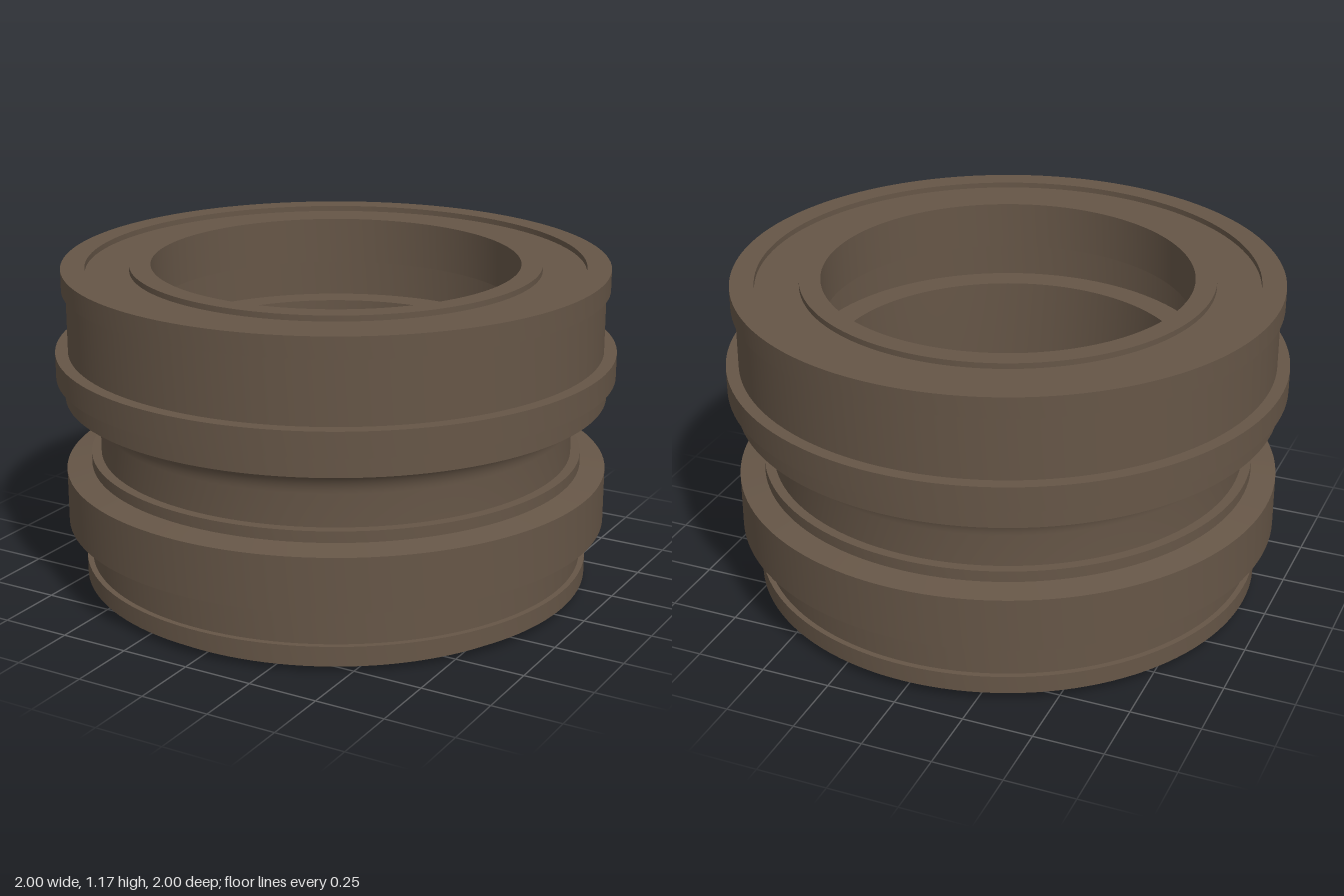
import * as THREE from 'three';
import { toCreasedNormals } from 'three/addons/utils/BufferGeometryUtils.js';

const SEGMENTS = 128;

export function createModel() {
  const group = new THREE.Group();
  const bronze = new THREE.MeshStandardMaterial({ color: 0x665647 });
  bronze.name = 'dark bronze';

  // Turns a [radius, height] profile; the profiles run counterclockwise round the section
  const turn = (name, profile) => {
    const points = profile.map(([r, y]) => new THREE.Vector2(r, y));
    const geometry = toCreasedNormals(new THREE.LatheGeometry(points, SEGMENTS), 0.25);
    const mesh = new THREE.Mesh(geometry, bronze);
    mesh.name = name;
    group.add(mesh);
  };

  // Stepped foot and lower flange with chamfered edges
  turn('lowerFlange', [
    [0.865, 0], [0.865, 0.03], [0.915, 0.03], [0.915, 0.095], [0.895, 0.095],
    [0.895, 0.215], [0.975, 0.24], [0.975, 0.435], [0.885, 0.45],
    [0.885, 0.49], [0.85, 0.49],
  ]);

  // Waist, flaring into the upper flange through a quarter-round fillet
  const fillet = [];
  for (let i = 0; i <= 12; i++) {
    const a = (i / 12) * Math.PI / 2;
    fillet.push([0.95 - 0.1 * Math.cos(a), 0.605 + 0.1 * Math.sin(a)]);
  }
  turn('waist', [[0.85, 0.49], ...fillet, [0.97, 0.705]]);

  // Upper flange, raised band and top lip
  turn('upperFlange', [
    [0.97, 0.705], [0.97, 0.78], [1, 0.78], [1, 0.87], [0.955, 0.87],
    [0.955, 1.095], [0.97, 1.095], [0.97, 1.17],
  ]);

  // Top face with its shallow ring groove
  turn('topFace', [
    [0.97, 1.17], [0.885, 1.17], [0.885, 1.15], [0.73, 1.15], [0.73, 1.17], [0.655, 1.17],
  ]);

  // Bore with an upper and a lower undercut
  turn('bore', [
    [0.655, 1.17], [0.655, 1], [0.74, 1], [0.74, 0.85], [0.64, 0.85],
    [0.64, 0.46], [0.645, 0.34], [0.665, 0.34], [0.665, 0.245], [0.74, 0.245],
    [0.74, 0.175], [0.67, 0.175], [0.67, 0.02], [0.715, 0.02], [0.715, 0],
  ]);

  // Flat underside
  turn('underside', [[0.715, 0], [0.865, 0]]);

  return group;
}
